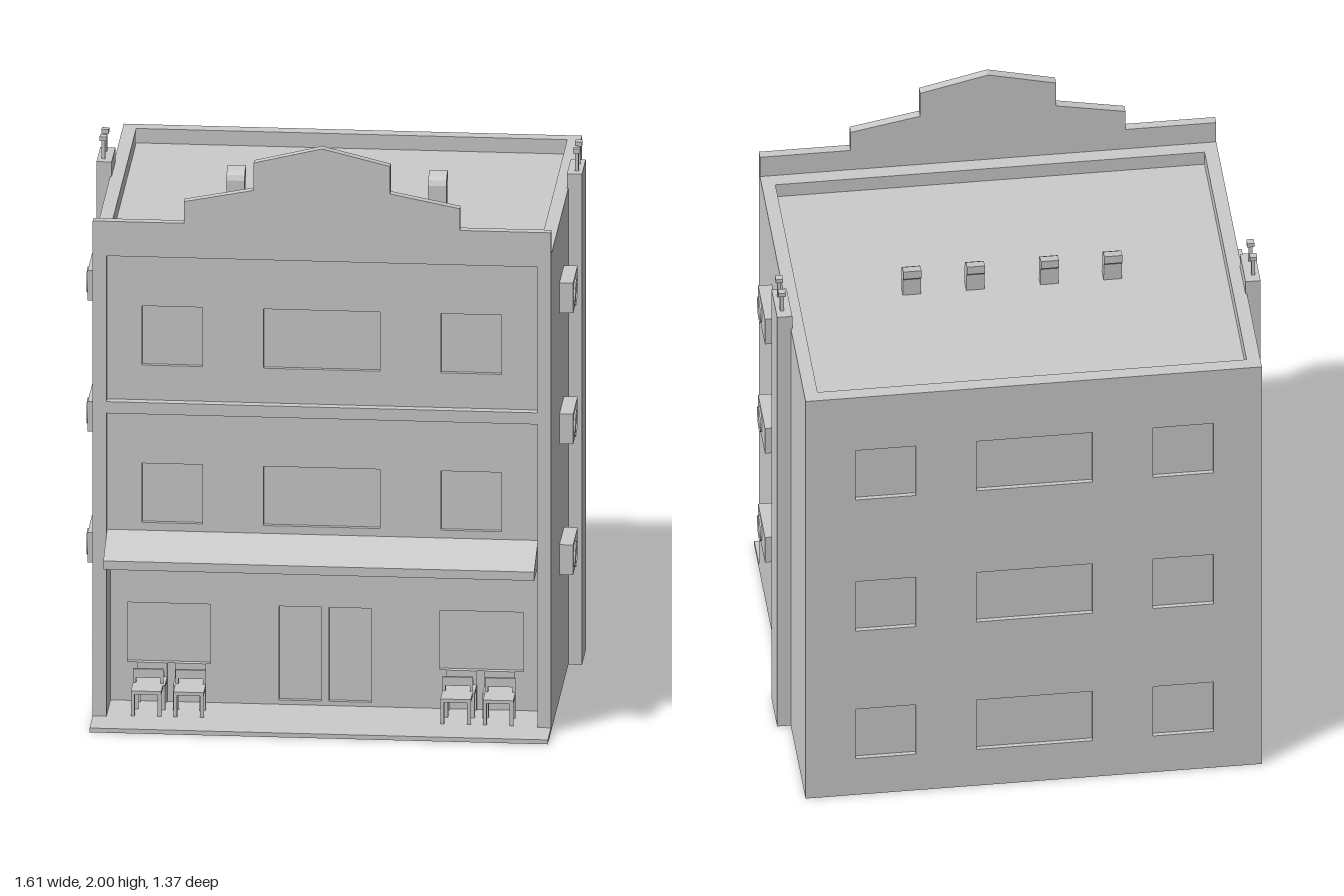
import * as THREE from 'three';

const mat = new THREE.MeshStandardMaterial({ color: 0xcccccc, flatShading: true, side: THREE.DoubleSide });

function add(parent, name, geo) {
  const m = new THREE.Mesh(geo, mat);
  m.name = name;
  parent.add(m);
  return m;
}

// Box given by its limits on each axis
function box(parent, name, x0, x1, y0, y1, z0, z1) {
  const m = add(parent, name, new THREE.BoxGeometry(x1 - x0, y1 - y0, z1 - z0));
  m.position.set((x0 + x1) / 2, (y0 + y1) / 2, (z0 + z1) / 2);
  return m;
}

const rect = ([x0, x1, y0, y1]) => [[x0, y0], [x1, y0], [x1, y1], [x0, y1]].map(p => new THREE.Vector2(...p));

// Upright slab in the xy plane with rectangular openings
function wall(parent, name, points, holes, z0, z1) {
  const s = new THREE.Shape(points);
  holes.forEach(h => s.holes.push(new THREE.Path(rect(h).reverse())));
  const m = add(parent, name, new THREE.ExtrudeGeometry(s, { depth: z1 - z0, bevelEnabled: false }));
  m.position.z = z0;
  return m;
}

// Side profile of [z, y] points swept along x
function sweepX(parent, name, pts, x0, x1) {
  const s = new THREE.Shape(pts.map(([z, y]) => new THREE.Vector2(-z, y)));
  const g = new THREE.ExtrudeGeometry(s, { depth: x1 - x0, bevelEnabled: false });
  g.rotateY(Math.PI / 2);
  const m = add(parent, name, g);
  m.position.x = x0;
  return m;
}

const windowRow = (y0, y1) => [[-0.595, -0.395, y0, y1], [-0.195, 0.19, y0, y1], [0.39, 0.59, y0, y1]];

// Chair with splayed legs, facing +z
function chair(parent, x, z) {
  const g = new THREE.Group();
  g.name = 'chair';
  g.position.set(x, 0.015, z);
  box(g, 'seat', -0.05, 0.05, 0.075, 0.087, -0.04, 0.045);
  box(g, 'backrest', -0.05, 0.05, 0.105, 0.135, -0.05, -0.04);
  for (const sx of [-1, 1]) {
    for (const sz of [-1, 1]) {
      const leg = box(g, 'leg', -0.006, 0.006, 0, 0.08, -0.006, 0.006);
      leg.position.x = sx * 0.044;
      leg.position.z = sz * 0.038;
    }
    const post = box(g, 'backPost', -0.005, 0.005, 0.08, 0.135, -0.05, -0.04);
    post.position.x = sx * 0.045;
  }
  parent.add(g);
}

export function createModel() {
  const root = new THREE.Group();
  root.name = 'building';

  // Body: ground floor is set back beneath the upper floors
  box(root, 'groundCore', -0.74, 0.74, 0, 0.6, -0.67, 0.375);
  box(root, 'upperCore', -0.74, 0.74, 0.58, 1.6, -0.67, 0.515);
  box(root, 'pavement', -0.755, 0.755, 0, 0.015, -0.685, 0.685);
  for (const s of [-1, 1]) {
    const side = box(root, 'sideWall', 0.71, 0.755, 0, 1.65, -0.685, 0.555);
    side.position.x *= s;
  }
  box(root, 'backParapet', -0.72, 0.72, 1.58, 1.65, -0.67, -0.64);
  box(root, 'frontParapet', -0.72, 0.72, 1.58, 1.65, 0.48, 0.53);

  // Walls with recessed windows and doors
  const upperRows = [...windowRow(0.68, 0.885), ...windowRow(1.225, 1.43)];
  wall(root, 'backWall', rect([-0.755, 0.755, 0, 1.65]), [...windowRow(0.15, 0.355), ...upperRows], -0.685, -0.67);
  wall(root, 'upperFrontWall', rect([-0.72, 0.72, 0.58, 1.65]), upperRows, 0.515, 0.53);
  wall(root, 'groundFrontWall', rect([-0.72, 0.72, 0.01, 0.58]), [
    [-0.655, -0.38, 0.15, 0.355], [0.375, 0.65, 0.15, 0.355],
    [-0.155, -0.015, 0.03, 0.355], [0.01, 0.15, 0.03, 0.355],
  ], 0.375, 0.39);

  // Facade frame with stepped gable
  const half = [[0.71, 0.565], [0.71, 0], [0.755, 0], [0.755, 1.73], [0.455, 1.73], [0.455, 1.805],
    [0.225, 1.85], [0.225, 1.945]];
  const outline = [...half, [0, 2], ...half.map(([x, y]) => [-x, y]).reverse()];
  wall(root, 'facade', outline.map(p => new THREE.Vector2(...p)),
    [[-0.71, 0.71, 0.597, 1.065], [-0.71, 0.71, 1.105, 1.61]], 0.53, 0.56);

  // Awning over the terrace
  sweepX(root, 'awning', [[0.53, 0.565], [0.685, 0.565], [0.685, 0.595], [0.53, 0.653]], -0.71, 0.71);

  // Hooded roof vents opening to the back
  for (const x of [-0.335, -0.125, 0.12, 0.33]) {
    sweepX(root, 'roofVent', [[-0.055, 1.6], [-0.055, 1.675], [-0.062, 1.692], [-0.078, 1.703],
      [-0.113, 1.71], [-0.113, 1.68], [-0.097, 1.665], [-0.095, 1.6]], x - 0.03, x + 0.03);
  }

  for (const s of [-1, 1]) {
    const side = new THREE.Group();
    side.name = s > 0 ? 'leftFittings' : 'rightFittings';
    root.add(side);

    // Chimney stack with two capped flues
    box(side, 'chimney', 0.75, 0.8, 0, 1.7, -0.29, -0.14).position.x *= s;
    for (const z of [-0.252, -0.177]) {
      box(side, 'flue', 0.774, 0.786, 1.69, 1.77, z - 0.006, z + 0.006).position.x *= s;
      box(side, 'flueCap', 0.768, 0.792, 1.763, 1.778, z - 0.012, z + 0.012).position.x *= s;
    }

    // Air conditioners with a round fan guard
    for (const y of [0.483, 0.936, 1.39]) {
      box(side, 'airConditioner', 0.75, 0.8, y - 0.052, y + 0.052, 0.035, 0.217).position.x *= s;
      const fan = add(side, 'fanRing', new THREE.CylinderGeometry(0.043, 0.043, 0.012, 20, 1, true));
      fan.rotation.z = Math.PI / 2;
      fan.position.set(s * 0.8, y, 0.155);
      const disc = add(side, 'fanDisc', new THREE.CircleGeometry(0.043, 20));
      disc.rotation.y = s * Math.PI / 2;
      disc.position.set(s * 0.802, y, 0.155);
    }

    // Terrace seating
    for (const dx of [-0.07, 0.07]) {
      chair(side, s * 0.51 + dx, 0.505);
      chair(side, s * 0.51 + dx * 0.9, 0.435);
    }
  }
  return root;
}
